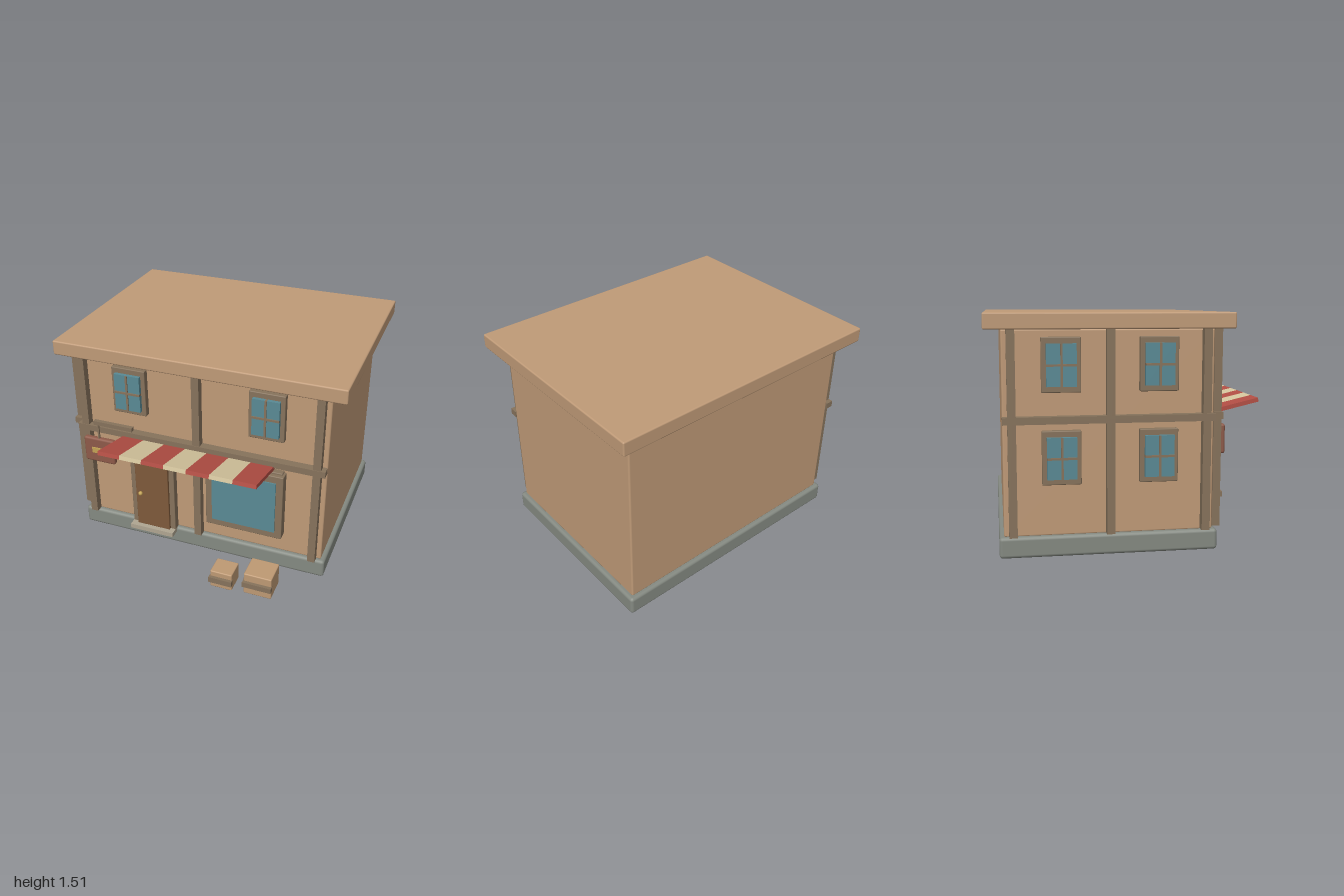
import * as THREE from 'three';
import { RoundedBoxGeometry } from 'three/addons/geometries/RoundedBoxGeometry.js';

const paint = (color) => new THREE.MeshStandardMaterial({ color });

export function createModel() {
  const model = new THREE.Group();
  model.name = 'shopHouse';

  const plaster = paint(0xc09b78), timber = paint(0x87735c), stone = paint(0x858a82);
  const glass = paint(0x5a8a95), doorWood = paint(0x7f5a3b), gold = paint(0xc4a355);
  const red = paint(0xb44f45), cream = paint(0xd8c8a0), signWood = paint(0x8e5a49);
  const crateWood = paint(0xbf9a74), stepStone = paint(0xb0a692);

  // Box given by its min and max corners, with optional rounded edges
  function box(parent, name, mat, [x0, x1], [y0, y1], [z0, z1], radius = 0) {
    const size = [x1 - x0, y1 - y0, z1 - z0];
    const geo = radius ? new RoundedBoxGeometry(...size, 2, radius) : new THREE.BoxGeometry(...size);
    const mesh = new THREE.Mesh(geo, mat);
    mesh.name = name;
    mesh.position.set((x0 + x1) / 2, (y0 + y1) / 2, (z0 + z1) / 2);
    parent.add(mesh);
    return mesh;
  }
  function group(name, parent = model) {
    const g = new THREE.Group();
    g.name = name;
    parent.add(g);
    return g;
  }

  // Main masses
  box(model, 'foundation', stone, [-0.92, 0.92], [0, 0.135], [-0.845, 0.54], 0.022);
  box(model, 'walls', plaster, [-0.89, 0.89], [0.13, 1.415], [-0.815, 0.51], 0.012);
  box(model, 'roof', plaster, [-1, 1], [1.415, 1.515], [-0.92, 0.615], 0.01);

  // Window in a local frame: the wall plane is z = 0, facing +z
  function makeWindow(parent, x, y) {
    const w = group('window', parent);
    w.position.set(x, y, 0);
    box(w, 'windowFrame', timber, [-0.121, 0.121], [-0.168, 0.168], [0, 0.047], 0.006);
    box(w, 'windowGlass', glass, [-0.092, 0.092], [-0.13, 0.13], [0.02, 0.072]);
    box(w, 'mullion', timber, [-0.007, 0.007], [-0.13, 0.13], [0.03, 0.08]);
    box(w, 'transom', timber, [-0.092, 0.092], [-0.007, 0.007], [0.03, 0.08]);
  }

  // Timber framing of one facade: three posts and a floor beam
  function makeFraming(parent, halfWidth) {
    for (const side of [-1, 0, 1]) {
      const x = side * (halfWidth - 0.057);
      box(parent, 'post', timber, [x - 0.026, x + 0.026], [0.14, 1.415], [0.008, 0.06]);
    }
    box(parent, 'floorBeam', timber, [-halfWidth, halfWidth], [0.842, 0.887], [0.006, 0.064]);
  }

  // Front facade
  const front = group('frontFacade');
  front.position.z = 0.51;
  makeFraming(front, 0.89);
  makeWindow(front, -0.484, 1.2);
  makeWindow(front, 0.484, 1.2);
  makeWindow(front, 0.484, 0.63);

  // Side facade on the model's right
  const side = group('sideFacade');
  side.position.set(-0.89, 0, -0.1525);
  side.rotation.y = -Math.PI / 2;
  makeFraming(side, 0.6625);
  for (const x of [-0.303, 0.303]) for (const y of [0.63, 1.2]) makeWindow(side, x, y);

  // Door with frame, knob and step
  const door = group('door');
  box(door, 'doorFrame', timber, [-0.508, -0.176], [0.13, 0.725], [0.51, 0.565], 0.005);
  box(door, 'doorPanel', doorWood, [-0.465, -0.214], [0.135, 0.692], [0.53, 0.585], 0.005);
  box(door, 'doorStep', stepStone, [-0.508, -0.176], [0.104, 0.138], [0.52, 0.62]);
  const knob = new THREE.Mesh(new THREE.SphereGeometry(0.016, 12, 8), gold);
  knob.name = 'doorKnob';
  knob.position.set(-0.424, 0.415, 0.599);
  door.add(knob);

  // Shop window
  const shop = group('shopWindow');
  box(shop, 'shopFrame', timber, [0.072, 0.62], [0.283, 0.785], [0.51, 0.585], 0.006);
  box(shop, 'shopGlass', glass, [0.12, 0.572], [0.335, 0.733], [0.53, 0.594]);

  // Striped awning tilted up towards the street
  const awning = group('awning');
  awning.position.set(0, 0.872, 0.725);
  awning.rotation.x = -0.23;
  const stripe = 1.092 / 7;
  for (let i = 0; i < 7; i++) {
    const x = -0.546 + i * stripe;
    box(awning, 'awningStripe', i % 2 ? cream : red, [x, x + stripe], [-0.014, 0.014], [-0.2, 0.2]);
  }

  // Hanging sign
  const sign = group('hangingSign');
  box(sign, 'signBracket', timber, [-0.755, -0.46], [0.914, 0.943], [0.57, 0.6]);
  box(sign, 'signRod', timber, [-0.733, -0.721], [0.79, 0.92], [0.579, 0.591]);
  box(sign, 'signBoard', signWood, [-0.843, -0.61], [0.61, 0.803], [0.56, 0.602], 0.015);
  box(sign, 'signPlate', gold, [-0.777, -0.673], [0.69, 0.73], [0.59, 0.612]);

  // Crates with a strap across the front
  function makeCrate(x, width, height, z, strap) {
    const crate = group('crate');
    box(crate, 'crateBox', crateWood, x, [0, height], z, 0.008);
    box(crate, 'crateStrap', timber, [x[0] - 0.004, x[1] + 0.004], strap, [z[1] - 0.012, z[1] + 0.022]);
  }
  makeCrate([0.455, 0.65], 0.195, 0.165, [0.695, 0.873], [0.068, 0.107]);
  makeCrate([0.22, 0.376], 0.156, 0.132, [0.745, 0.888], [0.05, 0.092]);

  return model;
}
